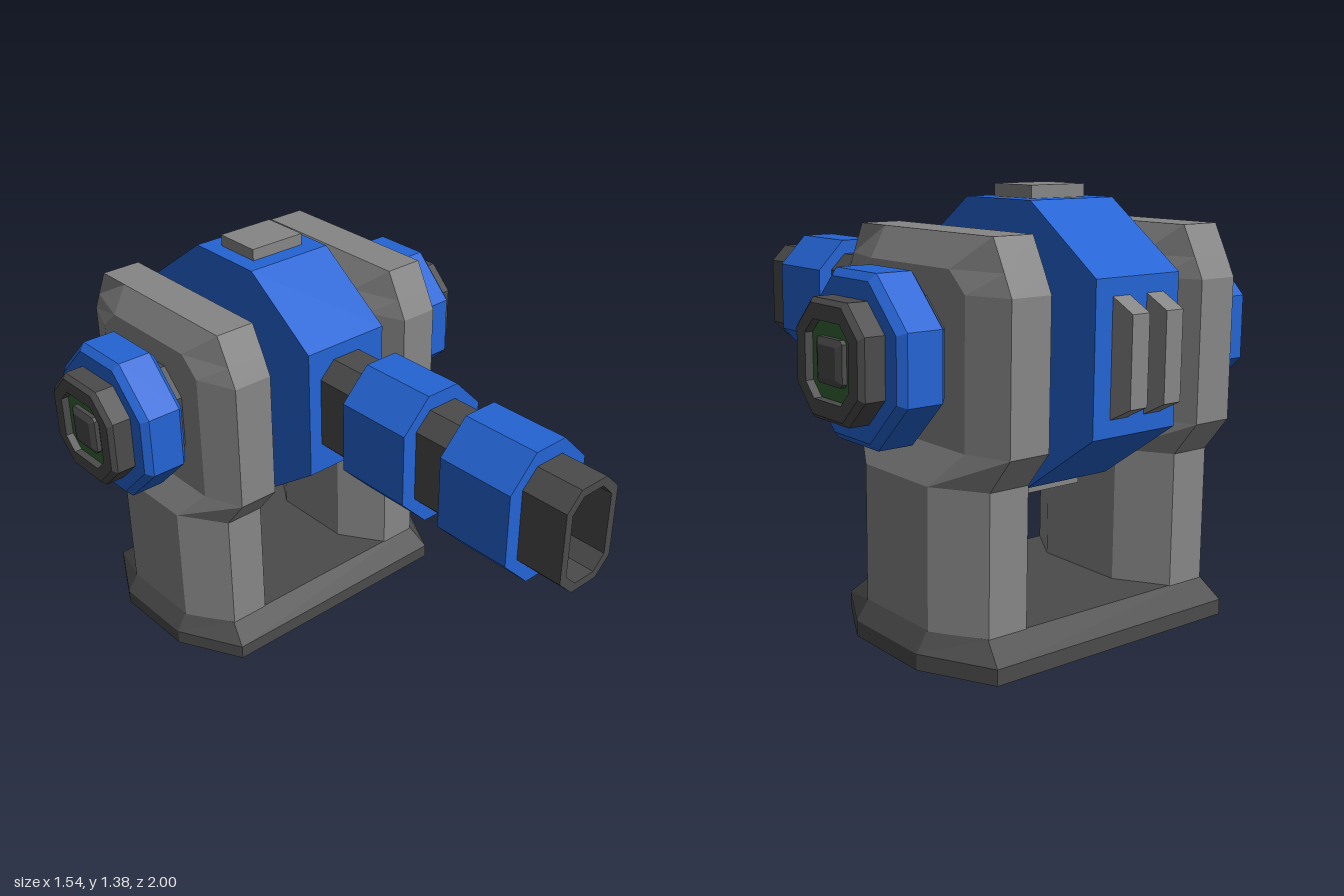
import * as THREE from 'three';

const mat = (name, color) => {
  const m = new THREE.MeshStandardMaterial({ color });
  m.name = name;
  return m;
};

// Right-handed axis mapping: section (u, v) swept along w
const AXES = {
  x: (u, v, w) => [w, u, v],
  y: (u, v, w) => [v, w, u],
  z: (u, v, w) => [u, v, w],
};

// Eight-sided section: half sizes hu, hv; half lengths of the straight sides fu, fv
const octagon = (hu, hv, fu, fv) => [
  [hu, -fv], [hu, fv], [fu, hv], [-fu, hv],
  [-hu, fv], [-hu, -fv], [-fu, -hv], [fu, -hv],
];

// Faceted solid through octagons given as [w, hu, hv, fu, fv], capped at both ends
function loft(axis, sections) {
  const rings = sections.map(([w, ...o]) => octagon(...o).map(([u, v]) => AXES[axis](u, v, w)));
  const pos = [];
  const tri = (a, b, c) => pos.push(...a, ...b, ...c);
  for (let s = 0; s < rings.length - 1; s++) {
    const a = rings[s], b = rings[s + 1];
    for (let i = 0; i < 8; i++) {
      const j = (i + 1) % 8;
      tri(a[i], a[j], b[j]);
      tri(a[i], b[j], b[i]);
    }
  }
  const first = rings[0], last = rings[rings.length - 1];
  for (let i = 1; i < 7; i++) {
    tri(last[0], last[i], last[i + 1]);
    tri(first[0], first[i + 1], first[i]);
  }
  const g = new THREE.BufferGeometry();
  g.setAttribute('position', new THREE.Float32BufferAttribute(pos, 3));
  g.computeVertexNormals();
  return g;
}

export function createModel() {
  const blue = mat('blue paint', 0x2464d4);
  const grey = mat('grey metal', 0x868686);
  const dark = mat('dark metal', 0x4b4b4b);
  const green = mat('green ring', 0x326432);

  const model = new THREE.Group();
  model.name = 'turret';
  const CY = 0.907, CZ = -0.485;

  const add = (parent, name, geometry, material, x = 0, y = 0, z = 0) => {
    const m = new THREE.Mesh(geometry, material);
    m.name = name;
    m.position.set(x, y, z);
    parent.add(m);
    return m;
  };

  // Base plate with clipped corners and a bevelled rim
  add(model, 'base', loft('y', [
    [0, 0.385, 0.58, 0.16, 0.46],
    [0.05, 0.385, 0.58, 0.16, 0.46],
    [0.112, 0.315, 0.54, 0.155, 0.44],
  ]), dark, 0, 0, CZ);

  // Head, centred on the tilt axis
  const head = new THREE.Group();
  head.name = 'head';
  head.position.set(0, CY, CZ);
  model.add(head);

  add(head, 'drum', loft('x', [
    [-0.163, 0.433, 0.435, 0.23, 0.15],
    [0.163, 0.433, 0.435, 0.23, 0.15],
  ]), blue);
  for (const s of [1, -1]) {
    add(head, s > 0 ? 'topPlate' : 'bottomPlate',
      new THREE.BoxGeometry(0.21, 0.06, 0.175), grey, 0, s * 0.443, 0);
  }

  // Rear fins with sloping ends
  const fin = loft('z', [
    [-0.515, 0.033, 0.135, 0.033, 0.135],
    [-0.43, 0.033, 0.18, 0.033, 0.18],
  ]);
  for (const x of [-0.068, 0.065]) add(head, 'rearFin', fin, grey, x);

  // Barrel with a hollow muzzle
  add(head, 'barrel', loft('z', [
    [0.42, 0.113, 0.18, 0.055, 0.123],
    [1.485, 0.113, 0.18, 0.055, 0.123],
    [1.485, 0.086, 0.152, 0.042, 0.107],
    [1.15, 0.086, 0.152, 0.042, 0.107],
  ]), dark);
  for (const [z0, z1] of [[0.12, 0.4], [0.555, 0.835]]) {
    add(head, 'barrelSleeve', loft('z', [
      [z0 - CZ, 0.165, 0.23, 0.062, 0.125],
      [z1 - CZ, 0.165, 0.23, 0.062, 0.125],
    ]), blue);
  }

  // Support, axle and hub; the second side is turned half a circle
  const support = loft('y', [
    [0.11, 0.317, 0.172, 0.16, 0.07],
    [0.545, 0.317, 0.172, 0.16, 0.07],
    [0.655, 0.404, 0.122, 0.267, 0.07],
    [1.1, 0.404, 0.122, 0.267, 0.07],
    [1.165, 0.372, 0.122, 0.195, 0.07],
    [1.26, 0.323, 0.07, 0.195, 0.07],
  ]);
  const axle = loft('x', [
    [0.15, 0.174, 0.174, 0.09, 0.09],
    [0.755, 0.174, 0.174, 0.09, 0.09],
    [0.77, 0.16, 0.16, 0.08, 0.08],
    [0.77, 0.114, 0.114, 0.07, 0.07],
    [0.74, 0.114, 0.114, 0.07, 0.07],
  ]);
  const hub = loft('x', [
    [0.53, 0.228, 0.228, 0.094, 0.094],
    [0.552, 0.25, 0.25, 0.1036, 0.1036],
    [0.668, 0.25, 0.25, 0.1036, 0.1036],
    [0.69, 0.228, 0.228, 0.094, 0.094],
  ]);
  const ring = loft('x', [
    [0.738, 0.113, 0.113, 0.069, 0.069],
    [0.745, 0.113, 0.113, 0.069, 0.069],
  ]);
  const cap = loft('x', [
    [0.74, 0.067, 0.067, 0.056, 0.056],
    [0.76, 0.067, 0.067, 0.056, 0.056],
    [0.77, 0.046, 0.046, 0.044, 0.044],
  ]);
  for (const s of [1, -1]) {
    const side = new THREE.Group();
    side.name = s > 0 ? 'leftSide' : 'rightSide';
    side.position.z = CZ;
    side.rotation.y = s > 0 ? 0 : Math.PI;
    model.add(side);
    add(side, 'support', support, grey, 0.368);
    add(side, 'axle', axle, dark, 0, CY);
    add(side, 'hub', hub, blue, 0, CY);
    add(side, 'hubRing', ring, green, 0, CY);
    add(side, 'hubCap', cap, dark, 0, CY);
  }
  return model;
}
